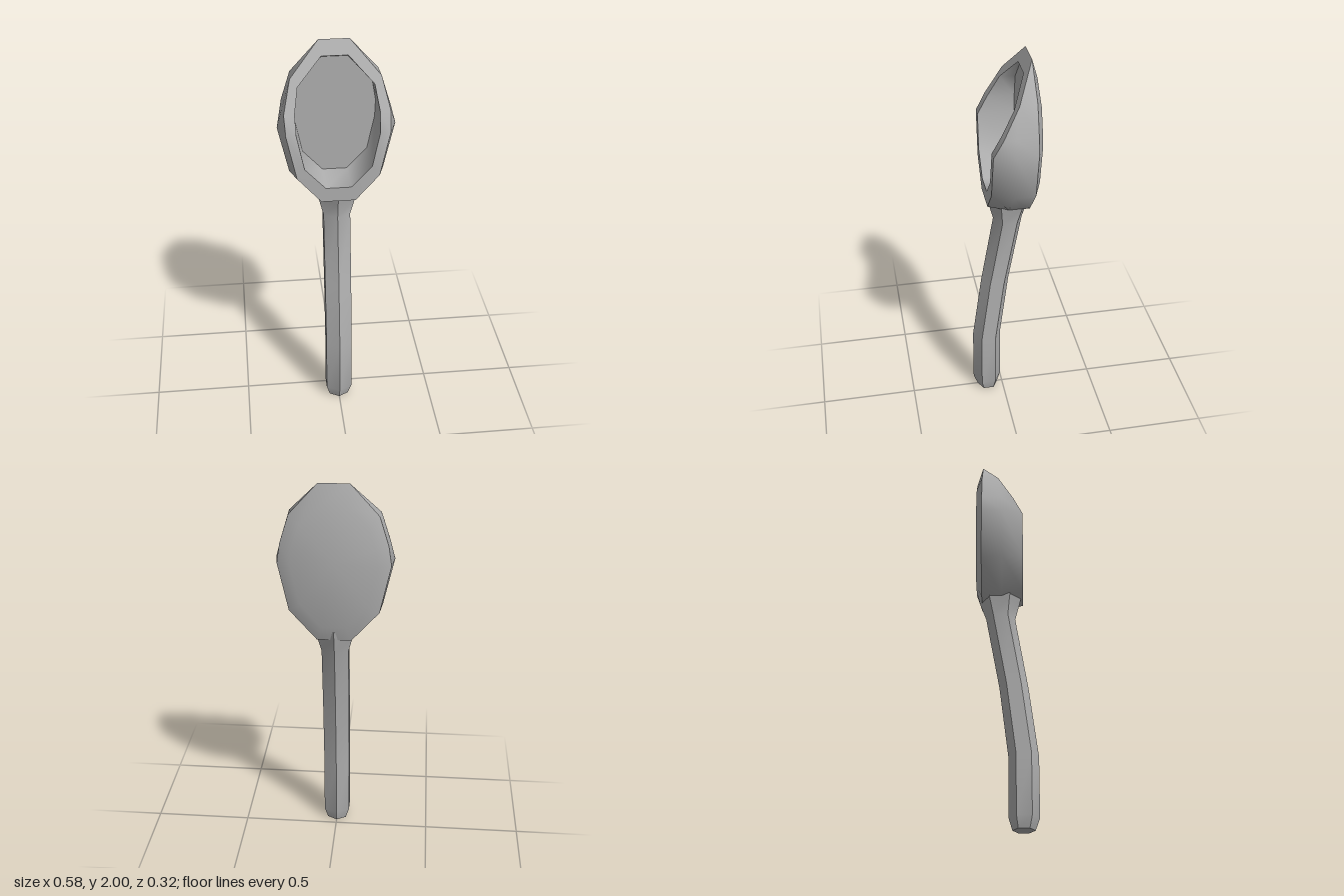
import * as THREE from 'three';
import { toCreasedNormals } from 'three/addons/utils/BufferGeometryUtils.js';

const CREASE = 0.85;

// Skin a list of equal-length rings (counter-clockwise around the travel axis) and cap both ends.
function loft(rings) {
  const n = rings[0].length;
  const pos = [];
  const tri = (...pts) => pts.forEach((p) => pos.push(p.x, p.y, p.z));
  const centre = (ring) => ring.reduce((s, p) => s.add(p), new THREE.Vector3()).divideScalar(n);
  const first = rings[0], last = rings[rings.length - 1];
  const c0 = centre(first), c1 = centre(last);
  for (let j = 0; j < n; j++) {
    const k = (j + 1) % n;
    tri(c0, first[k], first[j]);
    for (let i = 0; i < rings.length - 1; i++) {
      const a = rings[i][j], b = rings[i][k], c = rings[i + 1][k], d = rings[i + 1][j];
      tri(a, b, c);
      tri(a, c, d);
    }
    tri(c1, last[j], last[k]);
  }
  const g = new THREE.BufferGeometry();
  g.setAttribute('position', new THREE.Float32BufferAttribute(pos, 3));
  return toCreasedNormals(g, CREASE);
}

// Mirrored bowl outline from its right half (top to bottom); the slanted mouth limits its depth.
function outline(half, depth) {
  const point = (x, y) => new THREE.Vector3(x, y, Math.min(depth, 0.085 - (y - 1.6) * 0.53));
  return [
    ...[...half].reverse().map(([x, y]) => point(x, y)),
    ...half.map(([x, y]) => point(-x, y)),
  ];
}

// Six-sided handle section with a corner at the front and back.
function hexagon([y, z, rx, rz]) {
  return Array.from({ length: 6 }, (_, i) => {
    const a = Math.PI / 6 + (i * Math.PI) / 3;
    return new THREE.Vector3((Math.cos(a) / Math.cos(Math.PI / 6)) * rx, y, z - Math.sin(a) * rz);
  });
}

export function createModel() {
  const group = new THREE.Group();
  group.name = 'scoop';
  const metal = new THREE.MeshStandardMaterial({ color: 0xb0b0b0 });
  metal.name = 'grey metal';

  const add = (name, geometry) => {
    const mesh = new THREE.Mesh(geometry, metal);
    mesh.name = name;
    group.add(mesh);
  };

  // Bowl: back, outer wall, rim, then down inside to the floor
  const back = [[0.06, 1.9], [0.165, 1.8], [0.2, 1.69], [0.21, 1.6], [0.165, 1.4], [0.06, 1.28]];
  const shoulder = [[0.075, 2], [0.215, 1.845], [0.26, 1.7], [0.275, 1.6], [0.222, 1.355], [0.085, 1.2]];
  const belly = [[0.075, 2], [0.22, 1.84], [0.265, 1.69], [0.289, 1.6], [0.235, 1.36], [0.09, 1.205]];
  const rim = [[0.075, 2], [0.22, 1.84], [0.257, 1.69], [0.252, 1.6], [0.203, 1.37], [0.085, 1.235]];
  const mouth = [[0.065, 1.93], [0.185, 1.805], [0.205, 1.69], [0.202, 1.6], [0.165, 1.42], [0.063, 1.31]];
  const floor = mouth.map(([x, y]) => [x * 0.98, 1.62 + (y - 1.62) * 0.98]);
  add('bowl', loft([
    outline(back, -0.157),
    outline(shoulder, -0.127),
    outline(belly, -0.02),
    outline(rim, 0.087),
    outline(mouth, 0.087),
    outline(floor, -0.1),
  ]));

  // Bent handle flaring into the bowl: height, depth, half width, half depth
  const sections = [
    [0, 0.083, 0.05, 0.055],
    [0.06, 0.085, 0.068, 0.075],
    [0.365, 0.084, 0.068, 0.075],
    [0.73, 0.037, 0.068, 0.073],
    [1.11, -0.03, 0.068, 0.075],
    [1.2, -0.035, 0.09, 0.103],
    [1.25, -0.035, 0.1, 0.115],
  ];
  add('handle', loft(sections.map(hexagon)));

  return group;
}
